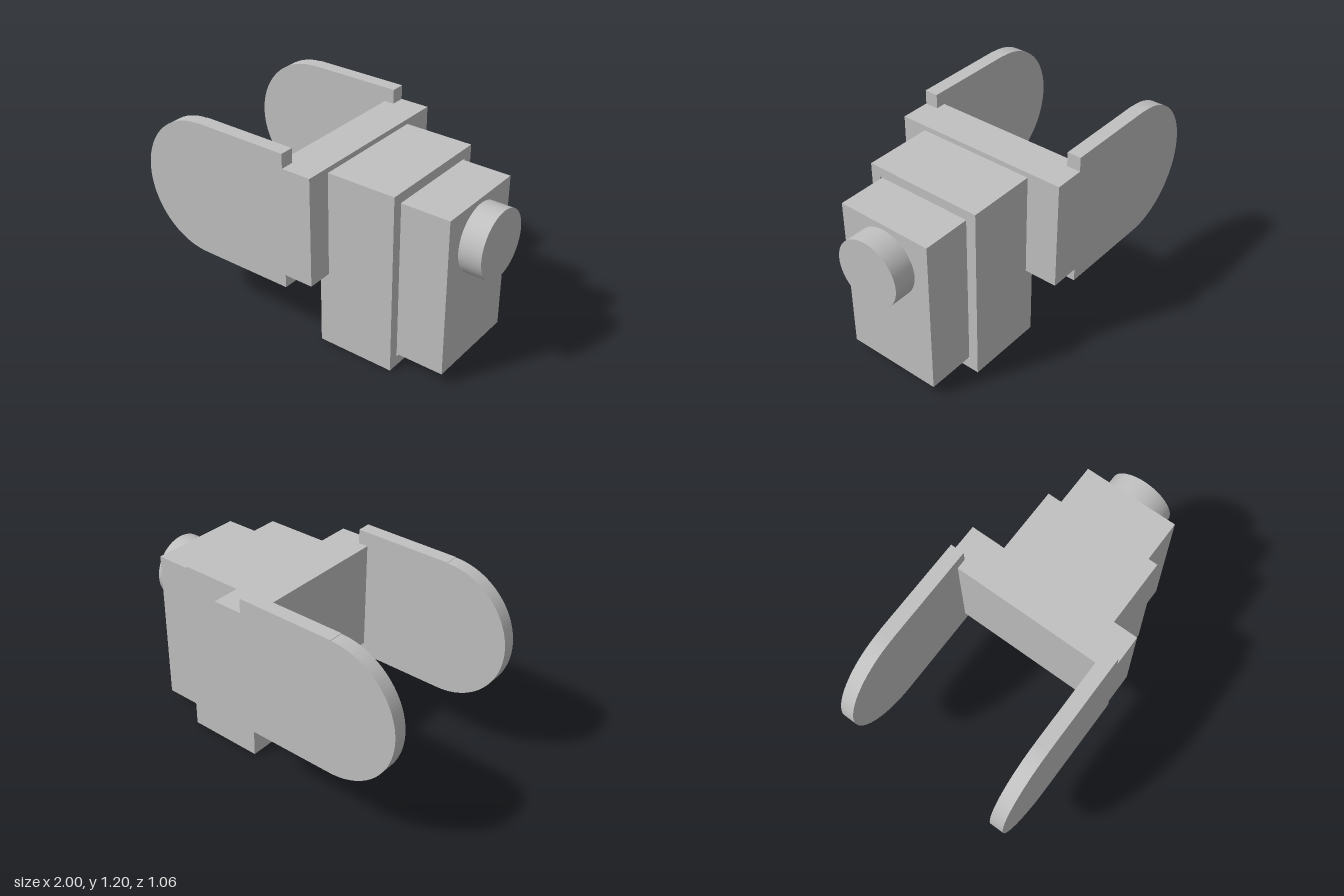
import * as THREE from 'three';

const grey = new THREE.MeshStandardMaterial({ color: 0xc0c0c0 });
grey.name = 'plain grey';

export function createModel() {
  const model = new THREE.Group();
  model.name = 'yokeMotorUnit';

  const add = (name, geometry) => {
    const mesh = new THREE.Mesh(geometry, grey);
    mesh.name = name;
    model.add(mesh);
    return mesh;
  };
  // Box given by its lower and upper limits on each axis
  const box = (name, [x0, x1], [y0, y1], [z0, z1]) =>
    add(name, new THREE.BoxGeometry(x1 - x0, y1 - y0, z1 - z0))
      .position.set((x0 + x1) / 2, (y0 + y1) / 2, (z0 + z1) / 2);
  const rect = (path, a0, a1, b0, b1) => {
    path.moveTo(a0, b0);
    path.lineTo(a1, b0);
    path.lineTo(a1, b1);
    path.lineTo(a0, b1);
    path.closePath();
    return path;
  };

  // Two round-ended fork arms, each with a narrower root at the cross block
  const arm = new THREE.Shape();
  arm.moveTo(-0.6, 0.382);
  arm.lineTo(-0.01, 0.382);
  arm.lineTo(-0.01, 0.46);
  arm.lineTo(0.05, 0.46);
  arm.lineTo(0.05, 1.11);
  arm.lineTo(-0.01, 1.11);
  arm.lineTo(-0.01, 1.195);
  arm.lineTo(-0.6, 1.195);
  arm.absellipse(-0.6, 0.787, 0.4, 0.405, Math.PI / 2, Math.PI * 1.5, false);
  for (const [name, z] of [['frontArm', 0.45], ['backArm', -0.532]]) {
    const geometry = new THREE.ExtrudeGeometry(arm, { depth: 0.082, bevelEnabled: false, curveSegments: 32 });
    add(name, geometry).position.z = z;
  }

  // Cross block: inner part between the arms, and outer part at full width
  box('crossBlockInner', [-0.07, 0.05], [0.46, 1.11], [-0.45, 0.45]);
  box('crossBlockOuter', [0.05, 0.168], [0.46, 1.11], [-0.532, 0.532]);

  // Housing: an open sleeve along x with a closed end (shape drawn in -z, y)
  const sleeve = rect(new THREE.Shape(), -0.382, 0.332, 0, 1.08);
  sleeve.holes.push(rect(new THREE.Path(), -0.322, 0.272, 0.062, 1.022));
  const sleeveGeometry = new THREE.ExtrudeGeometry(sleeve, { depth: 0.412, bevelEnabled: false });
  sleeveGeometry.rotateY(Math.PI / 2);
  add('housingSleeve', sleeveGeometry).position.x = 0.17;
  box('housingEnd', [0.112, 0.17], [0, 1.08], [-0.332, 0.382]);

  // Motor body seated in the sleeve with a hairline gap
  box('motorBody', [0.17, 0.866], [0.07, 1.014], [-0.266, 0.314]);

  // Round boss on the end of the motor
  const boss = new THREE.CylinderGeometry(0.198, 0.198, 0.134, 64).rotateZ(Math.PI / 2);
  add('boss', boss).position.set(0.933, 0.786, 0.024);

  return model;
}
